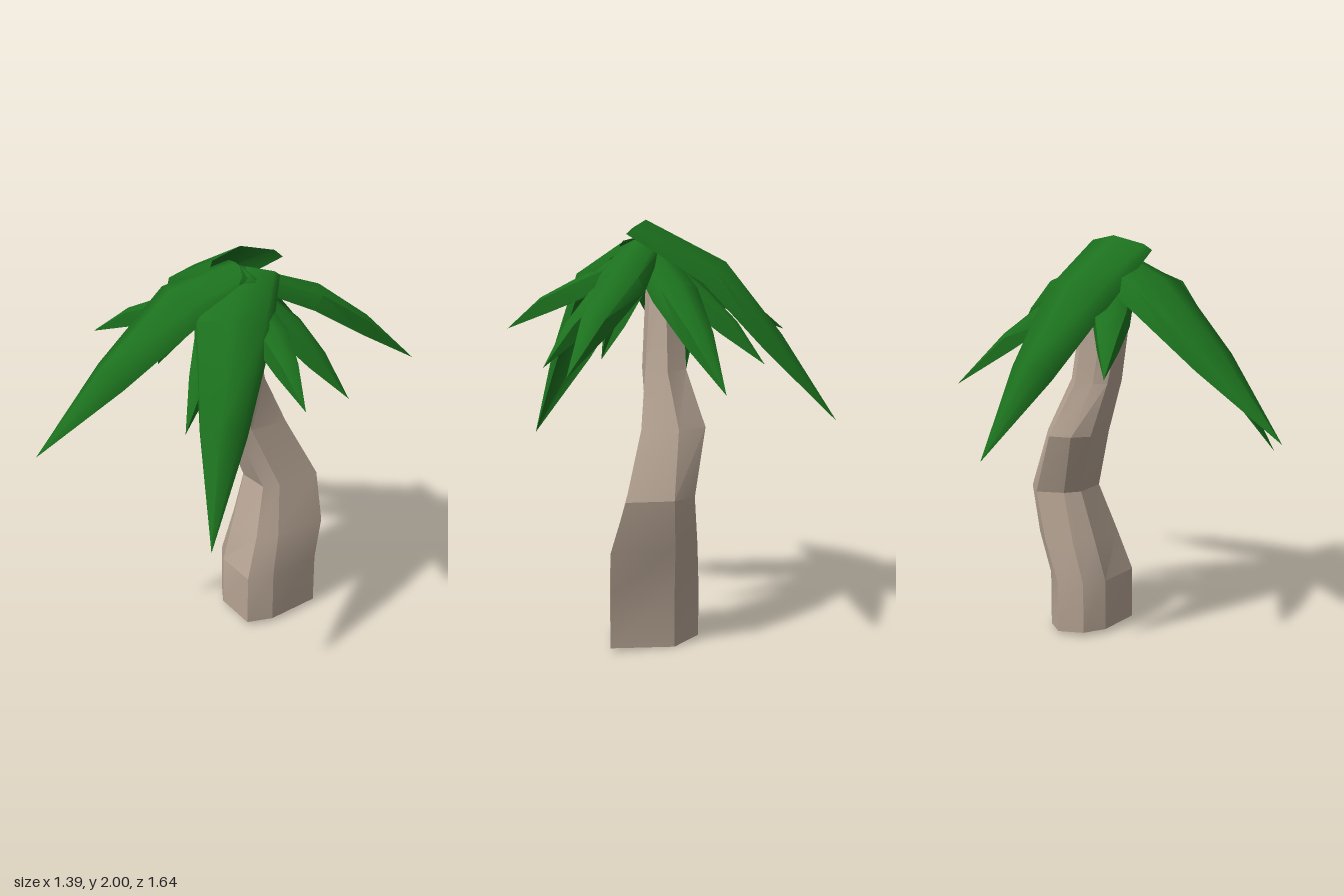
import * as THREE from 'three';
import { toCreasedNormals } from 'three/addons/utils/BufferGeometryUtils.js';

const bark = new THREE.MeshStandardMaterial({ color: 0xb5a393, side: THREE.DoubleSide });
bark.name = 'bark';
const leafGreen = new THREE.MeshStandardMaterial({ color: 0x1c711e, side: THREE.DoubleSide });
leafGreen.name = 'leaf green';

function build(points, index, crease) {
  const g = new THREE.BufferGeometry();
  g.setAttribute('position', new THREE.Float32BufferAttribute(points.flat(), 3));
  g.setIndex(index);
  return toCreasedNormals(g, crease);
}

// Trunk cross-sections: height, then seven [x, z] corners counterclockwise from above
const base = [[-0.01, -0.07], [0.2, 0.03], [0.29, -0.07], [0.38, -0.34], [0.07, -0.37], [-0.08, -0.3], [-0.08, -0.17]];
const rings = [
  [0.02, base],
  [0.28, base],
  [0.49, [[0.01, -0.13], [0.2, -0.05], [0.28, -0.13], [0.39, -0.38], [0.09, -0.43], [-0.045, -0.37], [-0.045, -0.23]]],
  [0.73, [[0.03, -0.2], [0.18, -0.14], [0.24, -0.2], [0.33, -0.42], [0.11, -0.47], [-0.01, -0.42], [-0.01, -0.28]]],
  [1.04, [[-0.07, -0.13], [0.06, -0.065], [0.12, -0.12], [0.21, -0.3], [0.05, -0.37], [-0.1, -0.33], [-0.11, -0.22]]],
  [1.3, [[-0.05, -0.05], [0.06, 0], [0.11, -0.04], [0.15, -0.19], [0.06, -0.25], [-0.05, -0.21], [-0.06, -0.12]]],
  [1.8, [[-0.03, 0.05], [0.02, 0.07], [0.06, 0.03], [0.09, -0.12], [0.04, -0.17], [-0.05, -0.14], [-0.06, -0.04]]],
];

// Hollow trunk, open at the bottom and capped at the top
function trunkGeometry() {
  const n = 7, points = [], index = [];
  rings.forEach(([y, ring]) => ring.forEach(([x, z]) => points.push([x, y, z])));
  points[4][1] = 0; // lowest back corner of the base
  for (let r = 0; r < rings.length - 1; r++) {
    for (let i = 0; i < n; i++) {
      const a = r * n + i, b = r * n + (i + 1) % n;
      index.push(a, b, b + n, a, b + n, a + n);
    }
  }
  const top = (rings.length - 1) * n;
  for (let i = 1; i < n - 1; i++) index.push(top, top + i, top + i + 1);
  return build(points, index, 0.3);
}

// Arched leaf blade: three sections with sloping flanks, then a pointed tip
function frondGeometry(root, knee, tip, rootHalf, kneeHalf) {
  const [a, b, c] = [root, knee, tip].map((p) => new THREE.Vector3(...p));
  const side = new THREE.Vector3(a.z - c.z, 0, c.x - a.x).normalize();
  const normal = side.clone().cross(c.clone().sub(a)).normalize();
  const middle = b.clone().lerp(c, 0.5);
  middle.y += 0.03;
  const points = [], index = [], n = 5;
  // centre, half width, flank depth
  for (const [centre, half, depth] of [[a, rootHalf, 0.04], [b, kneeHalf, 0.08], [middle, kneeHalf * 0.6, 0.07]]) {
    for (const [s, h] of [[-1, -depth], [-0.85, 0], [0, half * 0.25], [0.85, 0], [1, -depth]]) {
      points.push(centre.clone().addScaledVector(side, s * half).addScaledVector(normal, h).toArray());
    }
  }
  points.push(tip);
  for (let i = 0; i < n - 1; i++) {
    for (let r = 0; r < 2; r++) {
      const k = r * n + i;
      index.push(k, k + 1, k + n + 1, k, k + n + 1, k + n);
    }
    index.push(2 * n + i, 2 * n + i + 1, 3 * n);
  }
  return build(points, index, 1.1);
}

// root, knee, tip, half width at root, half width at knee
const fronds = [
  ['topFrond', [0.12, 1.965, -0.03], [-0.23, 1.77, -0.18], [-0.7, 1.06, -0.5], 0.19, 0.18],
  ['frontRightFrond', [0.09, 1.9, -0.04], [-0.1, 1.79, 0.2], [-0.46, 1.14, 0.82], 0.13, 0.19],
  ['frontLeftFrond', [0.13, 1.89, -0.06], [0.22, 1.74, 0.24], [0.43, 0.88, 0.73], 0.14, 0.18],
  ['backFrond', [0.07, 1.88, -0.02], [0.03, 1.69, -0.32], [0.01, 1.26, -0.82], 0.1, 0.11],
  ['backLeftFrond', [0.1, 1.9, 0], [0.33, 1.75, -0.34], [0.69, 1.35, -0.7], 0.1, 0.11],
  ['leftFrond', [0.1, 1.86, -0.02], [0.36, 1.66, -0.1], [0.63, 1.33, -0.14], 0.08, 0.08],
  ['leftForwardFrond', [0.1, 1.87, 0], [0.38, 1.7, 0.13], [0.67, 1.47, 0.35], 0.08, 0.08],
  ['lowerFrontFrond', [0.09, 1.85, 0.02], [0.11, 1.67, 0.25], [0.14, 1.28, 0.49], 0.08, 0.08],
  ['rightFrond', [0.05, 1.87, 0], [-0.28, 1.68, 0.01], [-0.69, 1.45, 0.06], 0.08, 0.085],
  ['backRightFrond', [0.05, 1.86, -0.04], [-0.13, 1.66, -0.22], [-0.34, 1.34, -0.46], 0.08, 0.08],
];

export function createModel() {
  const model = new THREE.Group();
  model.name = 'palmTree';
  const trunk = new THREE.Mesh(trunkGeometry(), bark);
  trunk.name = 'trunk';
  const crown = new THREE.Group();
  crown.name = 'crown';
  for (const [name, ...shape] of fronds) {
    const frond = new THREE.Mesh(frondGeometry(...shape), leafGreen);
    frond.name = name;
    crown.add(frond);
  }
  model.add(trunk, crown);
  return model;
}
